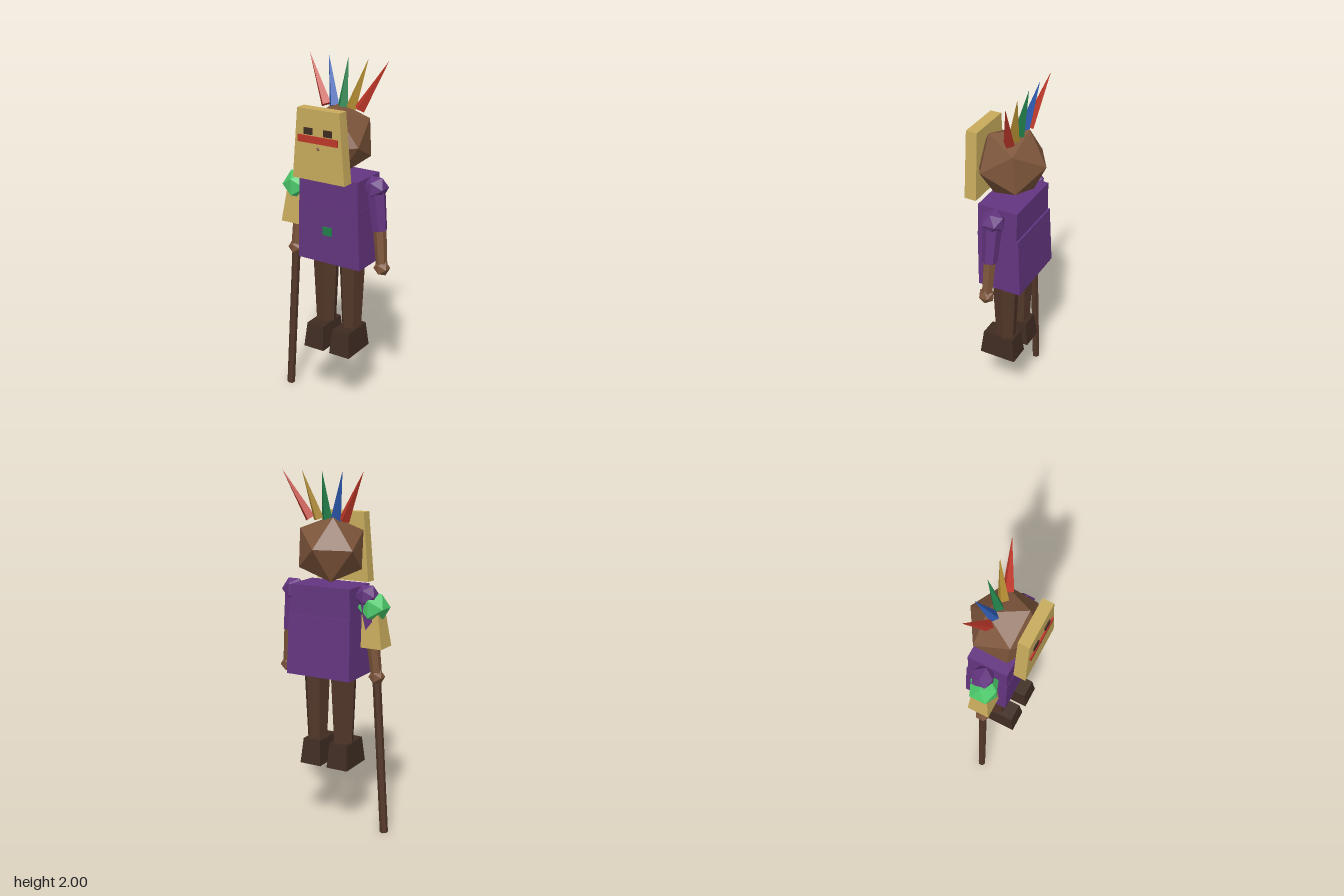
import * as THREE from 'three';

const CX = 0.016; // mirror plane of the figure (the staff shifts it off centre)

export function createModel() {
  const model = new THREE.Group();
  model.name = 'maskedFigure';

  const colors = {
    robePurple: 0x643580, maskTan: 0xc8ab5c, skinBrown: 0x7d553b, darkWood: 0x533729, footBrown: 0x3f2c22,
    red: 0xc0382a, blue: 0x2f5cb4, green: 0x22804a, gold: 0xb08a30, gemGreen: 0x4cc96a,
  };
  const mats = {};
  for (const [name, color] of Object.entries(colors)) {
    mats[name] = new THREE.MeshStandardMaterial({ color });
    mats[name].name = name;
  }

  // Faceted mesh with one normal per face
  function add(name, geometry, mat) {
    const g = geometry.index ? geometry.toNonIndexed() : geometry;
    g.computeVertexNormals();
    const mesh = new THREE.Mesh(g, mats[mat]);
    mesh.name = name;
    model.add(mesh);
    return mesh;
  }

  // Box whose bottom and top rectangles [x0, x1, z0, z1] differ
  function taper(name, mat, y0, bottom, y1, top) {
    const g = new THREE.BoxGeometry(1, 1, 1);
    const p = g.attributes.position;
    for (let i = 0; i < p.count; i++) {
      const up = p.getY(i) > 0;
      const r = up ? top : bottom;
      p.setXYZ(i, p.getX(i) < 0 ? r[0] : r[1], up ? y1 : y0, p.getZ(i) < 0 ? r[2] : r[3]);
    }
    return add(name, g, mat);
  }

  // Tapered prism running from a to b
  function limb(name, mat, a, b, ra, rb, sides = 6, spin = 0) {
    const from = new THREE.Vector3(...a), to = new THREE.Vector3(...b);
    const dir = to.clone().sub(from);
    const g = new THREE.CylinderGeometry(rb, ra, dir.length(), sides);
    g.rotateY(spin);
    const mesh = add(name, g, mat);
    mesh.position.copy(from).add(to).multiplyScalar(0.5);
    mesh.quaternion.setFromUnitVectors(new THREE.Vector3(0, 1, 0), dir.normalize());
    return mesh;
  }

  function ball(name, mat, r, x, y, z) {
    const mesh = add(name, new THREE.IcosahedronGeometry(r, 0), mat);
    mesh.position.set(x, y, z);
    return mesh;
  }

  function plate(name, mat, x0, x1, y0, y1, z0, z1) {
    return taper(name, mat, y0, [x0, x1, z0, z1], y1, [x0, x1, z0, z1]);
  }

  // Robe: chest and the slightly deeper skirt
  taper('robeChest', 'robePurple', 1.2, [-0.171, 0.203, -0.13, 0.098], 1.39, [-0.166, 0.198, -0.13, 0.098]);
  taper('robeSkirt', 'robePurple', 0.893, [-0.18, 0.213, -0.155, 0.095], 1.225, [-0.172, 0.204, -0.14, 0.1]);
  plate('buckle', 'green', -0.018, 0.042, 1.057, 1.105, 0.096, 0.104);

  // Head with one corner facing straight forward
  const headGeo = new THREE.IcosahedronGeometry(0.2, 0);
  headGeo.rotateX(Math.atan(2 / (1 + Math.sqrt(5))));
  headGeo.rotateZ(Math.PI / 2);
  headGeo.rotateX(0.08);
  add('head', headGeo, 'skinBrown').position.set(CX, 1.578, -0.004);

  // Mask and its painted face
  taper('mask', 'maskTan', 1.39, [-0.145, 0.177, 0.122, 0.19], 1.768, [-0.113, 0.145, 0.125, 0.188]);
  for (const s of [-1, 1]) {
    const x = CX + s * 0.06;
    plate('eye', 'footBrown', x - 0.026, x + 0.026, 1.635, 1.67, 0.187, 0.195);
  }
  plate('faceStripe', 'red', -0.107, 0.137, 1.592, 1.629, 0.188, 0.197);

  // Crown of feather spikes
  ['red', 'blue', 'green', 'gold', 'red'].forEach((mat, i) => {
    const k = i - 2;
    limb('crownSpike', mat, [CX + k * 0.052, 1.74, -0.045], [CX + k * 0.1225, 1.998, -0.1], 0.031, 0, 4);
  });

  // Arms and legs, mirrored
  for (const s of [-1, 1]) {
    const X = (d) => CX + s * d;
    ball('shoulder', 'robePurple', 0.068, X(0.229), 1.343, -0.017);
    limb('sleeve', 'robePurple', [X(0.229), 1.34, -0.016], [X(0.26), 1.11, -0.01], 0.052, 0.041, 6, s * 0.3);
    limb('forearm', 'skinBrown', [X(0.259), 1.12, -0.01], [X(0.279), 0.92, -0.002], 0.036, 0.031, 6, s * 0.3);
    ball('hand', 'skinBrown', 0.046, X(0.282), 0.9, 0);

    limb('thigh', 'darkWood', [X(0.085), 0.92, -0.014], [X(0.085), 0.7, -0.013], 0.077, 0.067, 6, s * 0.35);
    limb('shin', 'darkWood', [X(0.085), 0.7, -0.013], [X(0.085), 0.49, -0.012], 0.067, 0.057, 6, s * 0.35);
    const rect = (w, z0, z1) => [X(0.085) - w, X(0.085) + w, z0, z1];
    taper('foot', 'footBrown', 0.357, rect(0.065, -0.095, 0.122), 0.5, rect(0.053, -0.078, 0.105));
  }

  // Staff with a cloth wrap and a gem on top
  limb('staff', 'darkWood', [-0.322, 0.001, 0], [-0.243, 1.25, 0], 0.023, 0.024, 6);
  taper('staffWrap', 'maskTan', 1.067, [-0.32, -0.197, -0.06, 0.063], 1.25, [-0.292, -0.195, -0.045, 0.045]);
  ball('staffGem', 'gemGreen', 0.088, -0.244, 1.28, 0.003);

  return model;
}
